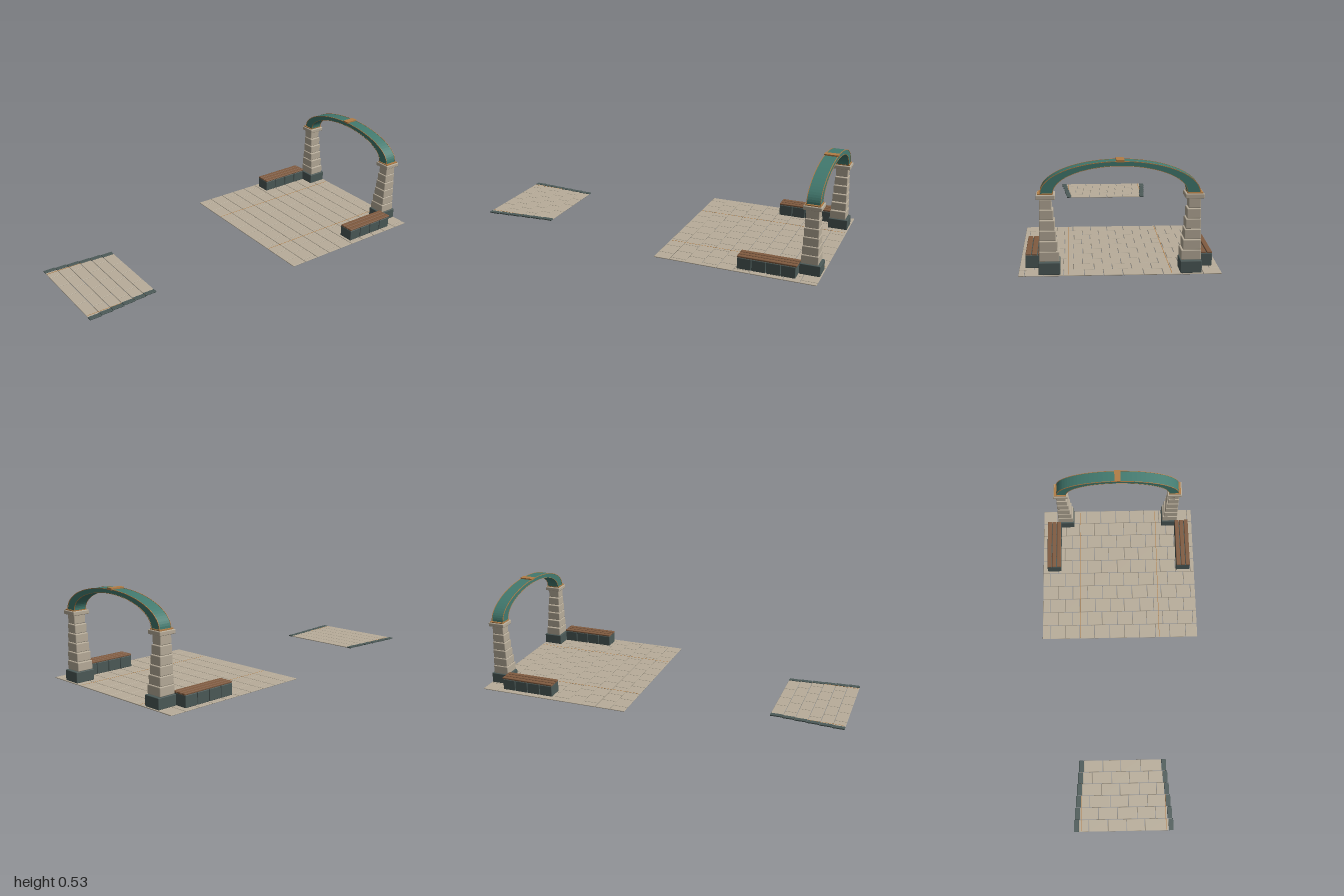
import * as THREE from 'three';
import { RoundedBoxGeometry } from 'three/addons/geometries/RoundedBoxGeometry.js';

const mat = (name, color) => {
  const m = new THREE.MeshStandardMaterial({ color });
  m.name = name;
  return m;
};

export function createModel() {
  const stone = mat('sandstone', 0xb8ad9a);
  const slate = mat('dark slate', 0x4c5a58);
  const teal = mat('teal metal', 0x427a6f);
  const copper = mat('copper', 0xb27d45);
  const wood = mat('timber', 0x805b40);

  const model = new THREE.Group();
  model.name = 'plazaGateway';

  let seed = 7;
  const rand = () => (seed = (seed * 16807) % 2147483647) / 2147483647;

  const group = (name, parent = model) => {
    const g = new THREE.Group();
    g.name = name;
    parent.add(g);
    return g;
  };
  const add = (parent, name, geometry, material) => {
    const m = new THREE.Mesh(geometry, material);
    m.name = name;
    parent.add(m);
    return m;
  };
  // Box given by its extents; a radius softens the edges
  const block = (parent, name, material, [x0, x1], [y0, y1], [z0, z1], r = 0) => {
    const size = [Math.abs(x1 - x0), y1 - y0, z1 - z0];
    const geo = r ? new RoundedBoxGeometry(...size, 1, r) : new THREE.BoxGeometry(...size);
    geo.translate((x0 + x1) / 2, (y0 + y1) / 2, (z0 + z1) / 2);
    return add(parent, name, geo, material);
  };

  // One row of soft-edged paving stones in running bond, trimmed at both ends
  const GAP = 0.001, TOP = 0.005;
  const pavingRow = (parent, half, z0, z1, width, shifted) => {
    let x = -half;
    let next = x + width * (shifted ? 0.5 : 1);
    while (x < half - 0.001) {
      let end = next + (rand() - 0.5) * width * 0.1;
      if (end > half - width * 0.25) end = half;
      block(parent, 'pavingStone', stone, [x + GAP, end - GAP], [0, TOP], [z0 + GAP, z1 - GAP], 0.002);
      x = end;
      next += width;
    }
  };
  // Thin copper lines set into the paving on both sides
  const inlays = (parent, z0, z1) => {
    for (const x of [-0.235, 0.235]) {
      block(parent, 'copperInlay', copper, [x - 0.0015, x + 0.0015], [0.003, 0.0053], [z0, z1]);
    }
  };

  // Rear plaza
  const plaza = group('plaza');
  for (let i = 0; i < 10; i++) {
    const z = -1 + i * 0.086;
    pavingRow(plaza, 0.464, z, z + 0.086, 0.09, i % 2 === 1);
  }
  inlays(plaza, -0.99, -0.145);

  // Front path, stepping wider towards the front, with slate kerbs
  const path = group('frontPath');
  const rowDepth = 0.4 / 6;
  for (let i = 0; i < 6; i++) {
    const z0 = 0.6 + i * rowDepth, z1 = z0 + rowDepth;
    const outer = 0.246 + i * 0.0058, inner = outer - 0.026;
    pavingRow(path, inner, z0, z1, 0.106, i % 2 === 1);
    for (const s of [-1, 1]) {
      block(path, 'kerb', slate, [s * inner, s * outer], [0, 0.0065], [z0 + 0.001, z1 - 0.001], 0.001);
    }
  }
  inlays(path, 0.605, 0.995);

  // Pillars and benches, mirrored on both sides
  const ZC = -0.937;
  const innerEdges = [0.276, 0.284, 0.291, 0.296, 0.302, 0.309];
  for (const s of [-1, 1]) {
    const side = s > 0 ? 'left' : 'right';
    const pillar = group(side + 'Pillar');
    const X = (a, b) => [s * a, s * b];
    block(pillar, 'pillarBase', slate, X(0.273, 0.371), [0.005, 0.062], [-0.994, -0.887], 0.003);
    innerEdges.forEach((x, i) => {
      const y = 0.063 + i * 0.048, h = 0.044 - i * 0.0021;
      block(pillar, 'pillarCourse', stone, X(x, 0.368 - i * 0.0005), [y, y + 0.0465], [ZC - h, ZC + h], 0.004);
    });
    block(pillar, 'pillarCap', stone, X(0.293, 0.38), [0.35, 0.372], [ZC - 0.047, ZC + 0.047], 0.004);
    block(pillar, 'copperPlate', copper, X(0.303, 0.373), [0.371, 0.377], [ZC - 0.04, ZC + 0.04]);

    const bench = group(side + 'Bench');
    for (let i = 0; i < 4; i++) {
      const z = -0.887 + i * 0.076;
      block(bench, 'benchBlock', slate, X(0.352, 0.435), [0.005, 0.066], [z + 0.001, z + 0.075], 0.003);
    }
    for (let i = 0; i < 3; i++) {
      const x = 0.3525 + i * 0.0285;
      block(bench, 'benchSlat', wood, X(x, x + 0.0245), [0.066, 0.076], [-0.891, -0.583], 0.003);
    }
  }

  // Flattened arch: band between two half ellipses standing on the pillars
  const SPRING = 0.377;
  const band = (aOut, bOut, aIn, bIn, depth) => {
    const shape = new THREE.Shape();
    const n = 40;
    for (let i = 0; i <= n; i++) {
      const t = (i / n) * Math.PI;
      const p = [aOut * Math.cos(t), SPRING + bOut * Math.sin(t)];
      i ? shape.lineTo(...p) : shape.moveTo(...p);
    }
    for (let i = n; i >= 0; i--) {
      const t = (i / n) * Math.PI;
      shape.lineTo(aIn * Math.cos(t), SPRING + bIn * Math.sin(t));
    }
    return new THREE.ExtrudeGeometry(shape, { depth, bevelEnabled: false });
  };
  const arch = group('arch');
  add(arch, 'archBeam', band(0.361, 0.143, 0.304, 0.122, 0.068), teal).position.z = ZC - 0.034;
  for (const z of [ZC - 0.0355, ZC + 0.0325]) {
    add(arch, 'outerCopperTrim', band(0.3625, 0.1445, 0.3585, 0.1415, 0.003), copper).position.z = z;
    add(arch, 'innerCopperTrim', band(0.3055, 0.1235, 0.303, 0.1215, 0.003), copper).position.z = z;
  }
  block(arch, 'keystone', copper, [-0.018, 0.018], [0.517, 0.527], [ZC - 0.037, ZC + 0.037]);

  return model;
}
